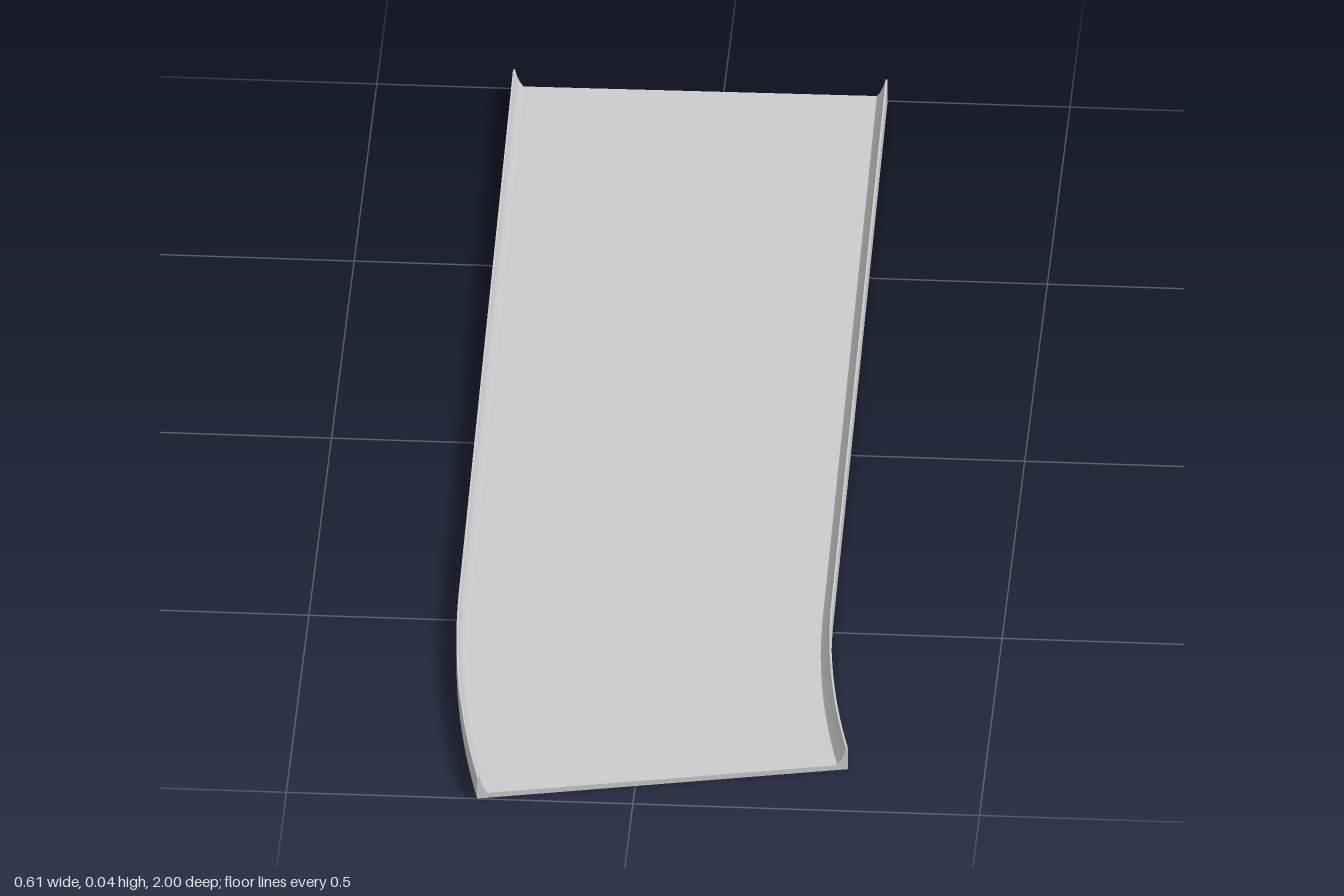
import * as THREE from 'three';
import { toCreasedNormals } from 'three/addons/utils/BufferGeometryUtils.js';

const HALF = 0.27, RIM_HEIGHT = 0.036, FLOOR = 0.008;
const RIM_TOP = 0.003, RIM_FOOT = 0.0155;
const START_X = -0.033, START_Z = -0.9965;
const STRAIGHT = 1.4735, RADIUS = 2.263;
const ANGLE_0 = 0.0122, ANGLE_1 = 0.219;
const ARC_STEPS = 20;

// Shallow channel section with a concave fillet inside each rim
function channelProfile() {
  const s = new THREE.Shape();
  s.moveTo(-HALF, 0);
  s.lineTo(HALF, 0);
  s.lineTo(HALF, RIM_HEIGHT);
  s.lineTo(HALF - RIM_TOP, RIM_HEIGHT);
  s.quadraticCurveTo(HALF - 0.007, 0.017, HALF - RIM_FOOT, FLOOR);
  s.lineTo(-HALF + RIM_FOOT, FLOOR);
  s.quadraticCurveTo(-HALF + 0.007, 0.017, -HALF + RIM_TOP, RIM_HEIGHT);
  s.lineTo(-HALF, RIM_HEIGHT);
  s.closePath();
  return s;
}

// Centre line: step 0 to 1 is the straight run, later steps follow the bend
function pathAt(step) {
  const run = Math.min(step, 1) * STRAIGHT;
  const turn = Math.max(step - 1, 0) / ARC_STEPS;
  const angle = ANGLE_0 + (ANGLE_1 - ANGLE_0) * turn;
  return {
    angle,
    x: START_X + run * Math.sin(ANGLE_0) + RADIUS * (Math.cos(ANGLE_0) - Math.cos(angle)),
    z: START_Z + run * Math.cos(ANGLE_0) + RADIUS * (Math.sin(angle) - Math.sin(ANGLE_0)),
  };
}

export function createModel() {
  const group = new THREE.Group();
  group.name = 'curvedChannel';

  // Extrude one unit per step, then lay each section across the centre line
  const steps = ARC_STEPS + 1;
  const geometry = new THREE.ExtrudeGeometry(channelProfile(), {
    depth: steps, steps, bevelEnabled: false, curveSegments: 6,
  });
  const pos = geometry.attributes.position;
  for (let i = 0; i < pos.count; i++) {
    const across = pos.getX(i);
    const p = pathAt(pos.getZ(i));
    pos.setX(i, p.x + across * Math.cos(p.angle));
    pos.setZ(i, p.z - across * Math.sin(p.angle));
  }
  geometry.clearGroups();

  const track = new THREE.Mesh(
    toCreasedNormals(geometry, 0.35),
    new THREE.MeshStandardMaterial({ color: 0xcccccc })
  );
  track.name = 'trackWithRims';
  group.add(track);
  return group;
}
